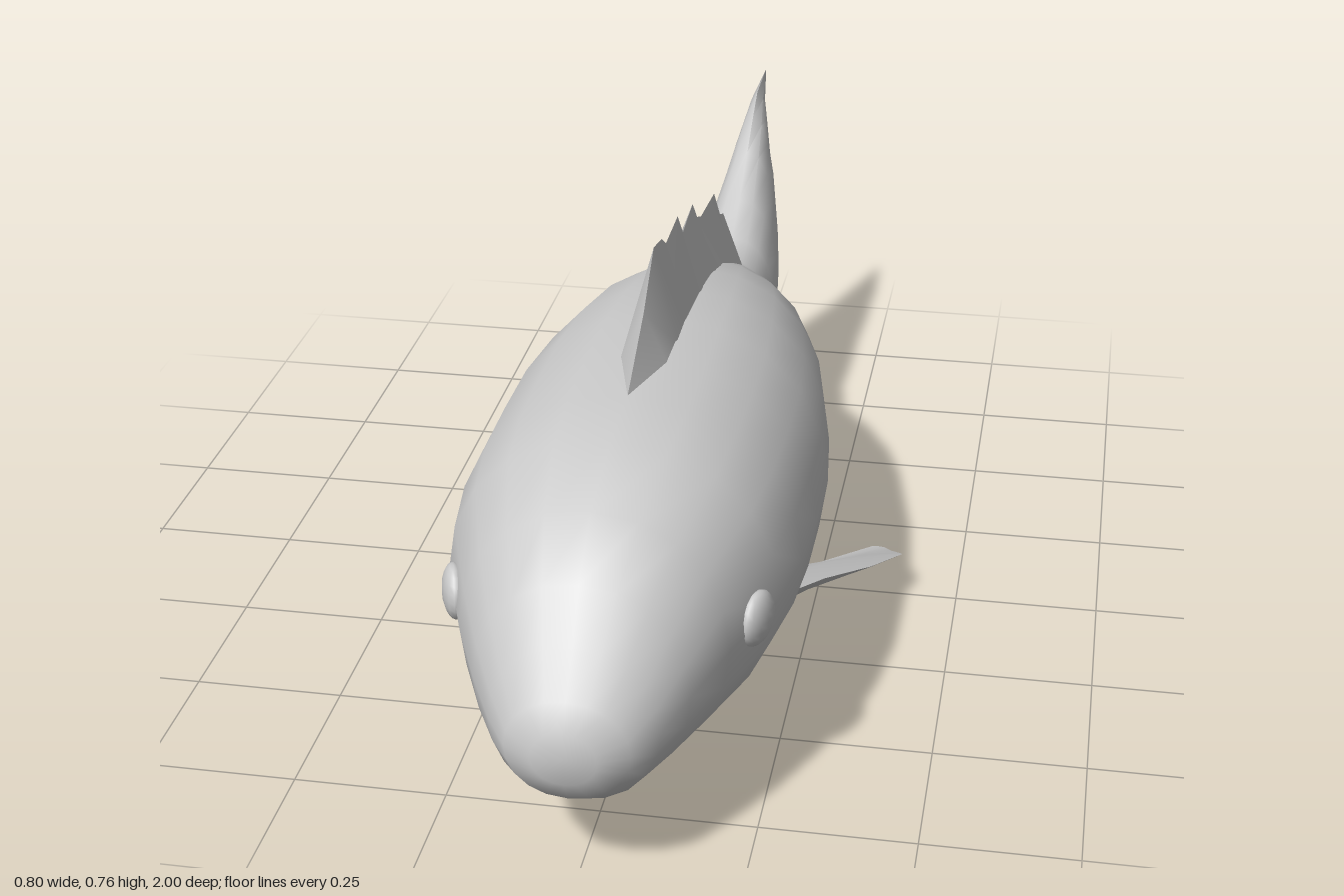
import * as THREE from 'three';
import { toCreasedNormals } from 'three/addons/utils/BufferGeometryUtils.js';

const material = new THREE.MeshStandardMaterial({ color: 0xcccccc, side: THREE.DoubleSide });

// Skin a list of closed rings (counter-clockwise seen from +z, running towards -z) and cap both ends.
function loft(name, rings, crease) {
  const n = rings[0].length, last = (rings.length - 1) * n;
  const pos = rings.flat(2), index = [];
  for (let r = 0; r < rings.length - 1; r++) {
    for (let i = 0; i < n; i++) {
      const a = r * n + i, a2 = r * n + (i + 1) % n;
      index.push(a, a + n, a2, a2, a + n, a2 + n);
    }
  }
  const centre = ring => [0, 1, 2].map(k => ring.reduce((s, p) => s + p[k], 0) / n);
  pos.push(...centre(rings[0]), ...centre(rings[rings.length - 1]));
  const front = rings.length * n;
  for (let i = 0; i < n; i++) {
    const j = (i + 1) % n;
    index.push(front, i, j, front + 1, last + j, last + i);
  }
  const geo = new THREE.BufferGeometry();
  geo.setAttribute('position', new THREE.Float32BufferAttribute(pos, 3));
  geo.setIndex(index);
  const mesh = new THREE.Mesh(toCreasedNormals(geo, crease), material);
  mesh.name = name;
  return mesh;
}

// Oval body section; zAt can bend the ring along z by its height (-1 to 1).
function oval(z, bottom, top, w, zAt = () => z) {
  const ring = [], sides = 20;
  for (let i = 0; i < sides; i++) {
    const a = i / sides * Math.PI * 2, c = Math.cos(a), s = Math.sin(a);
    const x = Math.abs(c) < 1e-6 ? 0 : Math.sign(c) * Math.abs(c) ** 0.92 * w;
    ring.push([x, (top + bottom) / 2 + s * (top - bottom) / 2, zAt(s)]);
  }
  return ring;
}

// Body and tail fin in one skin: z, bottom, top, half width
function body() {
  const sections = [
    [1.0, 0.225, 0.31, 0.05], [0.975, 0.185, 0.35, 0.095], [0.925, 0.15, 0.41, 0.13],
    [0.87, 0.138, 0.485, 0.165], [0.78, 0.123, 0.555, 0.208], [0.63, 0.10, 0.598, 0.262],
    [0.5, 0.082, 0.61, 0.28], [0.35, 0.058, 0.612, 0.285], [0.2, 0.046, 0.612, 0.284],
    [0.05, 0.062, 0.6, 0.268], [-0.1, 0.098, 0.575, 0.24], [-0.22, 0.137, 0.54, 0.205],
    [-0.34, 0.175, 0.49, 0.153], [-0.43, 0.19, 0.445, 0.105], [-0.49, 0.19, 0.428, 0.088],
    [-0.56, 0.18, 0.443, 0.085], [-0.65, 0.14, 0.488, 0.08], [-0.75, 0.075, 0.55, 0.067],
    [-0.82, 0.035, 0.597, 0.053], [-0.88, 0.005, 0.632, 0.034],
  ];
  const rings = sections.map(s => oval(...s));
  // Swept trailing edge
  rings.push(oval(0, 0.035, 0.64, 0.003, s => -0.94 + (s > 0 ? -0.06 : 0.025) * s * s));
  return loft('body', rings, 0.9);
}

// Fin on the centre line with a wedge section: z, base, edge
function wedgeFin(name, points, w) {
  const rings = points.map(([z, base, edge], i) => {
    const k = i === 0 ? 0.2 : 1;
    const ring = [[w * k, base, z], [0, edge, z], [-w * k, base, z]];
    return edge > base ? ring : ring.reverse();
  });
  return loft(name, rings, 0.7);
}

// Flat side fin between an outer and an inner edge
function pectoralFin(side) {
  const edges = [
    [[0.23, 0.215, 0.4], [0.15, 0.15, 0.3], 0.02],
    [[0.29, 0.175, 0.26], [0.155, 0.1, 0.17], 0.018],
    [[0.355, 0.125, 0.12], [0.17, 0.065, 0.07], 0.015],
    [[0.4, 0.087, 0.0], [0.195, 0.026, 0.01], 0.012],
    [[0.39, 0.055, -0.06], [0.225, 0.028, -0.03], 0.01],
    [[0.37, 0.024, -0.12], [0.335, 0.025, -0.13], 0.004],
  ];
  const rings = edges.map(([o, i, t]) => {
    const at = (k, d) => [
      o[0] + (i[0] - o[0]) * k - d * 0.5, o[1] + (i[1] - o[1]) * k + d, o[2] + (i[2] - o[2]) * k];
    const ring = [o, at(0.3, t), at(0.7, t * 0.7), i, at(0.7, -t * 0.7), at(0.3, -t)]
      .map(([x, y, z]) => [x * side, y, z]);
    return side > 0 ? ring : ring.reverse();
  });
  return loft(side > 0 ? 'leftPectoralFin' : 'rightPectoralFin', rings, 0.8);
}

export function createModel() {
  const group = new THREE.Group();
  group.name = 'fish';
  group.add(body());

  // Spiny back fin
  group.add(wedgeFin('dorsalFin', [
    [0.5, 0.59, 0.608], [0.36, 0.595, 0.69], [0.27, 0.595, 0.766], [0.2, 0.59, 0.752],
    [0.16, 0.59, 0.728], [0.05, 0.58, 0.732], [0.03, 0.58, 0.705], [0.01, 0.575, 0.68],
    [-0.1, 0.555, 0.695], [-0.125, 0.55, 0.66], [-0.19, 0.53, 0.636], [-0.335, 0.47, 0.623],
    [-0.345, 0.465, 0.575], [-0.445, 0.42, 0.54], [-0.455, 0.415, 0.48], [-0.48, 0.4, 0.435],
  ], 0.042));

  // Belly fin
  group.add(wedgeFin('analFin', [
    [-0.04, 0.13, 0.1], [-0.1, 0.14, 0.078], [-0.16, 0.15, 0.06], [-0.23, 0.17, 0.055],
    [-0.3, 0.185, 0.068], [-0.34, 0.175, 0.09], [-0.375, 0.155, 0.13],
  ], 0.035));

  for (const side of [1, -1]) {
    group.add(pectoralFin(side));
    // Slightly raised eye
    const eye = new THREE.Mesh(new THREE.SphereGeometry(0.045, 14, 10), material);
    eye.name = side > 0 ? 'leftEye' : 'rightEye';
    eye.scale.set(0.45, 1, 1);
    eye.position.set(side * 0.236, 0.35, 0.695);
    eye.rotation.y = -side * 0.35;
    group.add(eye);
  }
  return group;
}
